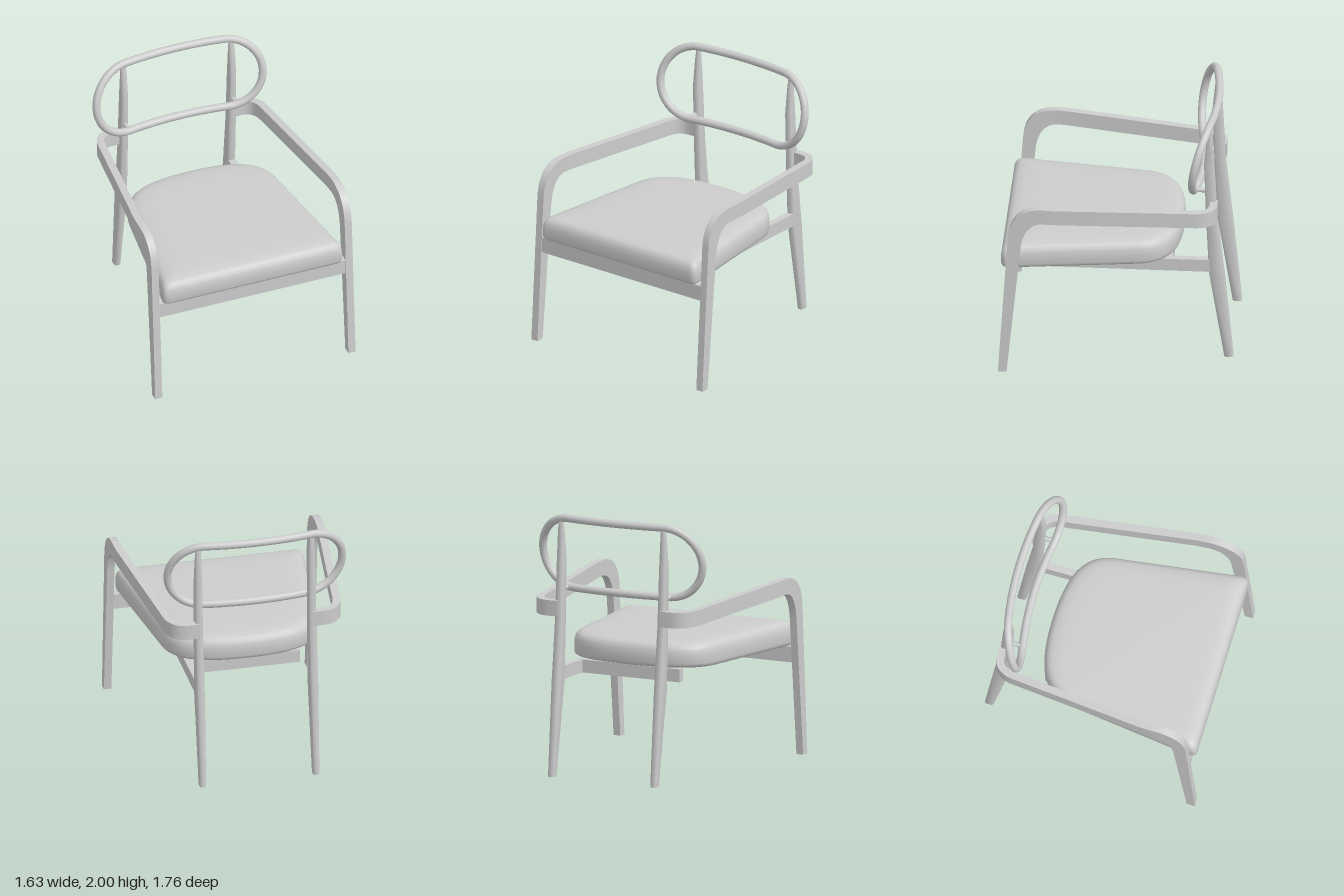
import * as THREE from 'three';
import { toCreasedNormals } from 'three/addons/utils/BufferGeometryUtils.js';

// Skin a list of equal-sized point rings into a closed solid with capped ends.
function loft(rings, crease = 0.7) {
  const n = rings[0].length, pos = rings.flat(2), index = [];
  for (let r = 0; r < rings.length - 1; r++) {
    for (let i = 0; i < n; i++) {
      const a = r * n + i, b = r * n + (i + 1) % n;
      index.push(a, b, b + n, a, b + n, a + n);
    }
  }
  [0, rings.length - 1].forEach((r, end) => {
    const c = pos.length / 3;
    for (let k = 0; k < 3; k++) pos.push(rings[r].reduce((s, p) => s + p[k], 0) / n);
    for (let i = 0; i < n; i++) {
      const a = r * n + i, b = r * n + (i + 1) % n;
      if (end) index.push(a, b, c); else index.push(b, a, c);
    }
  });
  // Turn the faces outward, whichever way the rings run.
  const at = (i) => new THREE.Vector3().fromArray(pos, i * 3);
  let volume = 0;
  for (let i = 0; i < index.length; i += 3) {
    volume += at(index[i]).dot(at(index[i + 1]).cross(at(index[i + 2])));
  }
  if (volume < 0) index.reverse();
  const g = new THREE.BufferGeometry();
  g.setAttribute('position', new THREE.Float32BufferAttribute(pos, 3));
  g.setIndex(index);
  return toCreasedNormals(g, crease);
}

// Bent ribbon that rises as the front leg and runs back as the armrest.
function armGeometry(side) {
  const hw = 0.029, rings = [];
  const add = (x0, x1, outer, inner, nx, nz) => {
    const corner = (x, [z, y], s) => [side * (x + s * hw * nx), y, z + s * hw * nz];
    rings.push([corner(x0, outer, 1), corner(x0, outer, -1), corner(x1, inner, -1), corner(x1, inner, 1)]);
  };
  const bend = (z0, y0, zc, yc, z1, y1) => new THREE.QuadraticBezierCurve(
    new THREE.Vector2(z0, y0), new THREE.Vector2(zc, yc), new THREE.Vector2(z1, y1));
  const outer = bend(0.81, 1.15, 0.79, 1.4, 0.55, 1.4);
  const inner = bend(0.715, 1.06, 0.69, 1.275, 0.55, 1.28);
  add(0.787, 0.787, [0.885, 0], [0.82, 0], 1, 0);
  for (let i = 0; i <= 12; i++) {
    add(0.787, 0.787, outer.getPoint(i / 12).toArray(), inner.getPoint(i / 12).toArray(), 1, 0);
  }
  const level = (x, z, nx, nz) => {
    const y = 1.4 - 0.05 * (0.55 - z);
    add(x, x, [z, y], [z, y - 0.12], nx, nz);
  };
  level(0.783, 0.45, 0.997, -0.07);
  const corner = bend(0.66, -0.58, 0.645, -0.728, 0.52, -0.728);
  for (let i = 0; i <= 10; i++) {
    const p = corner.getPoint(i / 10), t = corner.getTangent(i / 10);
    level(p.x, p.y, -t.y, t.x);
  }
  level(0.44, -0.728, 0, -1);
  return loft(rings, 0.6);
}

// Tapered back leg with chamfered edges: height, front z, back z, half width.
function backLegGeometry(side) {
  const levels = [
    [0, -0.805, -0.875, 0.024], [0.72, -0.69, -0.805, 0.031], [0.82, -0.685, -0.793, 0.031],
    [1.2, -0.667, -0.752, 0.03], [1.65, -0.652, -0.73, 0.027], [1.85, -0.672, -0.718, 0.024],
    [1.955, -0.69, -0.712, 0.018],
  ];
  return loft(levels.map(([y, zf, zb, w]) => {
    const c = Math.min(0.012, (zf - zb) * 0.3), x = side * 0.44;
    return [[w, zf - c], [w - c, zf], [c - w, zf], [-w, zf - c],
      [-w, zb + c], [c - w, zb], [w - c, zb], [w, zb + c]].map(([dx, z]) => [x + dx, y, z]);
  }), 0.9);
}

// Padded seat: one tapered outline stacked at shrinking insets.
function cushionGeometry() {
  const s = new THREE.Shape();
  s.moveTo(-0.68, 0.87);
  s.lineTo(0.68, 0.87);
  s.quadraticCurveTo(0.738, 0.87, 0.73, 0.81);
  s.lineTo(0.6, -0.17);
  s.bezierCurveTo(0.56, -0.4, 0.35, -0.475, 0, -0.475);
  s.bezierCurveTo(-0.35, -0.475, -0.56, -0.4, -0.6, -0.17);
  s.lineTo(-0.73, 0.81);
  s.quadraticCurveTo(-0.738, 0.87, -0.68, 0.87);
  const outline = s.getPoints(14);
  if (outline[0].distanceTo(outline[outline.length - 1]) < 1e-6) outline.pop();
  const levels = [[0.02, 0.84], [0.006, 0.85], [0, 0.87], [0, 0.93], [0.004, 0.965], [0.014, 0.99],
    [0.03, 1.009], [0.055, 1.02], [0.1, 1.028], [0.18, 1.033], [0.4, 1.035]];
  return loft(levels.map(([inset, y]) => {
    const kx = 1 - inset / 0.73, kz = 1 - inset / 0.67;
    return outline.map((p) => [p.x * kx - 0.006, y, (p.y - 0.2) * kz + 0.2]);
  }));
}

// Stadium-shaped loop, leaning back and bowed around the sitter.
class BackLoop extends THREE.Curve {
  getPoint(t, target = new THREE.Vector3()) {
    const h = 0.403, r = 0.277, arc = Math.PI * r, total = 4 * h + 2 * arc;
    let d = (((t % 1) + 1) % 1) * total, flip = 1;
    if (d >= total / 2) { d -= total / 2; flip = -1; }
    const a = Math.max(0, d - 2 * h) / r;
    const x = flip * (d < 2 * h ? d - h : h + r * Math.sin(a)) - 0.027;
    const dy = flip * r * Math.cos(a);
    return target.set(x, 1.693 + dy, -0.675 - 0.2 * dy + 0.2 * x * x);
  }
}

export function createModel() {
  const model = new THREE.Group();
  const grey = new THREE.MeshStandardMaterial({ color: 0xcccccc });
  grey.name = 'light grey';
  const add = (name, geometry, x = 0, y = 0, z = 0) => {
    const mesh = new THREE.Mesh(geometry, grey);
    mesh.name = name;
    mesh.position.set(x, y, z);
    model.add(mesh);
    return mesh;
  };

  // Frame
  for (const [label, side] of [['left', 1], ['right', -1]]) {
    add(label + 'FrontLegAndArm', armGeometry(side));
    add(label + 'BackLeg', backLegGeometry(side));
    add(label + 'BackrestPeg', new THREE.CylinderGeometry(0.018, 0.018, 0.11, 16),
      side * 0.44, 1.42, -0.63).rotation.x = Math.PI / 2;
  }
  add('frontRail', new THREE.BoxGeometry(1.54, 0.12, 0.07), 0, 0.775, 0.795);
  add('sideRail', new THREE.BoxGeometry(0.055, 0.1, 1.48), 0.44, 0.78, 0.03);
  add('crossRail', new THREE.BoxGeometry(0.86, 0.1, 0.06), 0.01, 0.78, -0.38);

  // Seat and backrest
  add('seatCushion', cushionGeometry());
  add('backrestLoop', new THREE.TubeGeometry(new BackLoop(), 120, 0.03, 16, true));
  return model;
}
